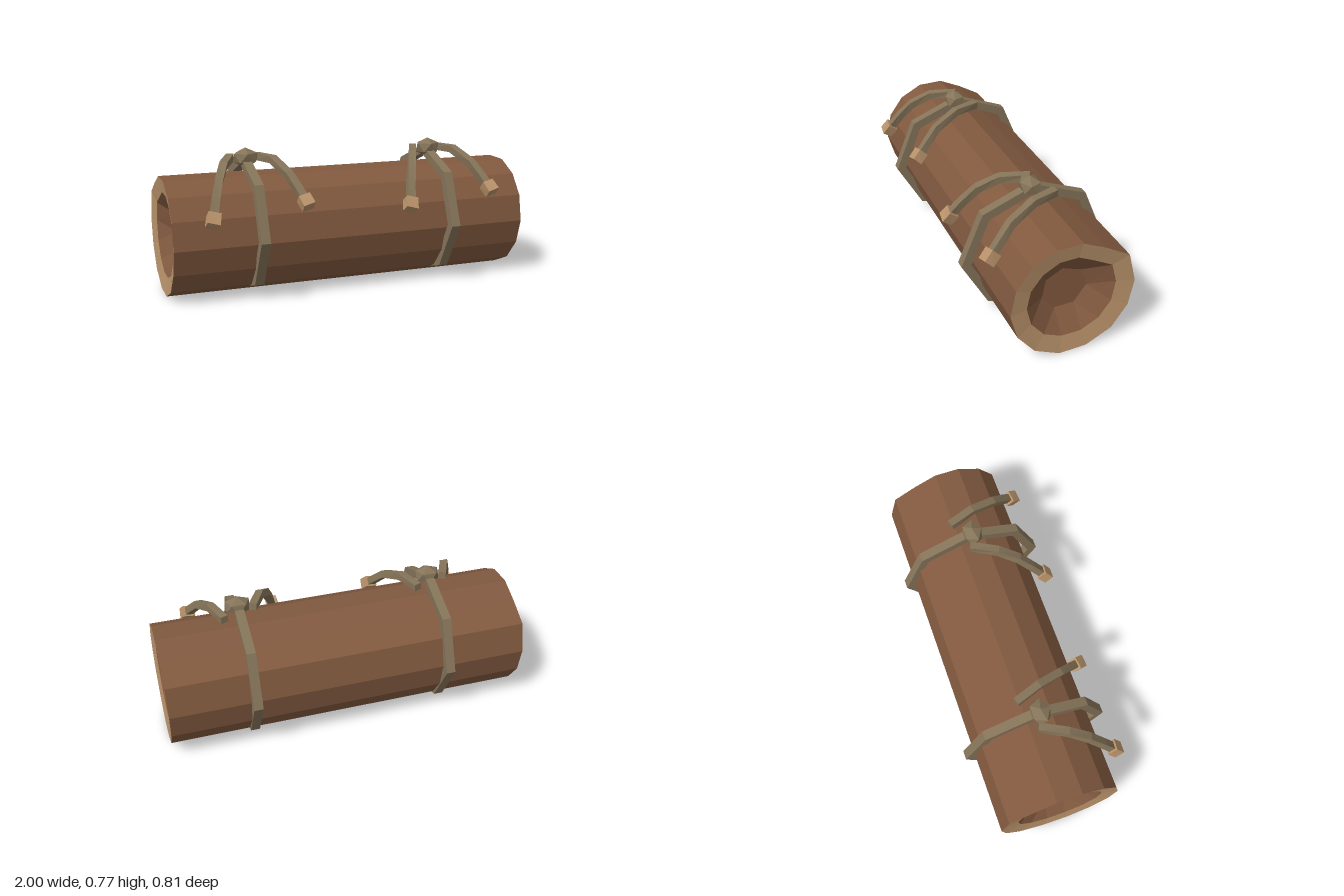
import * as THREE from 'three';

const flat = (name, color) => {
  const m = new THREE.MeshStandardMaterial({ color, flatShading: true });
  m.name = name;
  return m;
};

// Skin a list of equally sized rings with flat quads
function loft(rings) {
  const pos = [];
  const tri = (...p) => {
    if (p[0].equals(p[1]) || p[1].equals(p[2]) || p[0].equals(p[2])) return;
    p.forEach((v) => pos.push(v.x, v.y, v.z));
  };
  for (let k = 0; k < rings.length - 1; k++) {
    const r = rings[k], s = rings[k + 1], n = r.length;
    for (let i = 0; i < n; i++) {
      const j = (i + 1) % n;
      tri(r[i], s[i], s[j]);
      tri(r[i], s[j], r[j]);
    }
  }
  const g = new THREE.BufferGeometry();
  g.setAttribute('position', new THREE.Float32BufferAttribute(pos, 3));
  g.computeVertexNormals();
  return g;
}

// Irregular log outline and hollow outline as [z, y]
const OUTER = [[.085, .633], [-.055, .637], [-.18, .58], [-.31, .506], [-.352, .343], [-.324, .2], [-.24, .08],
  [-.1, .009], [.048, .002], [.185, .063], [.278, .176], [.317, .311], [.29, .457], [.209, .567]];
const INNER = [[.06, .548], [-.04, .552], [-.13, .51], [-.226, .459], [-.254, .354], [-.235, .241], [-.17, .152],
  [-.074, .102], [.033, .098], [.13, .139], [.2, .222], [.226, .322], [.207, .42], [.146, .5]];
const CENTRE = [-.014, .325];

// Hollow floor: neighbouring points merge in pairs, giving seven sides
const FLOOR = INNER.map((_, i) => {
  const a = INNER[i - (i % 2)], b = INNER[i - (i % 2) + 1];
  return [0, 1].map((c) => CENTRE[c] + ((a[c] + b[c]) / 2 - CENTRE[c]) * 0.53);
});
const ringAt = (pts, x) => pts.map(([z, y]) => new THREE.Vector3(x, y, z));

// Square bar swept along a path, closed at both ends
function bar(path, w, h) {
  const rings = path.map((p, i) => {
    const t = path[Math.min(i + 1, path.length - 1)].clone().sub(path[Math.max(i - 1, 0)]).normalize();
    const out = new THREE.Vector3(0, p.y - 0.33, p.z);
    const s = t.clone().cross(out).normalize();
    const u = s.clone().cross(t);
    return [[1, 1], [1, -1], [-1, -1], [-1, 1]].map(([a, b]) =>
      p.clone().addScaledVector(u, a * h / 2).addScaledVector(s, b * w / 2));
  });
  const cap = (p) => [p, p, p, p];
  return loft([cap(path[0]), ...rings, cap(path[path.length - 1])]);
}

// Eight-sided strap with an eight-sided opening
function strapGeometry() {
  const loop = (side, up, upY, top, low, lowY, bottom) => [[side, .333], [up, upY], [0, top], [-up, upY],
    [-side, .333], [-low, lowY], [0, bottom], [low, lowY]].map(([z, y]) => new THREE.Vector2(z - .004, y));
  const shape = new THREE.Shape(loop(.402, .286, .617, .73, .257, .075, .003));
  shape.holes.push(new THREE.Path(loop(.349, .25, .581, .684, .222, .108, .04)));
  return new THREE.ExtrudeGeometry(shape, { depth: .05, bevelEnabled: false })
    .rotateY(-Math.PI / 2).translate(.025, 0, 0);
}

export function createModel() {
  const bark = flat('bark brown', 0x81593f);
  const wood = flat('cut wood tan', 0xb8926a);
  const rope = flat('strap khaki', 0x857459);
  const model = new THREE.Group();
  const add = (parent, name, geo, mat) => {
    const m = new THREE.Mesh(geo, mat);
    m.name = name;
    parent.add(m);
    return m;
  };

  // Log: bark, cut rims and hollows at both ends
  const log = new THREE.Group();
  log.name = 'log';
  model.add(log);
  add(log, 'bark', loft([ringAt(OUTER, -1), ringAt(OUTER, 1)]), bark);
  const middle = INNER.map(() => CENTRE);
  for (const s of [-1, 1]) {
    const ends = (list) => loft(s > 0 ? list : list.reverse());
    const side = s > 0 ? 'left' : 'right';
    add(log, side + 'Rim', ends([ringAt(OUTER, s), ringAt(INNER, s * .985)]), wood);
    add(log, side + 'Hollow', ends([ringAt(INNER, s * .985), ringAt(FLOOR, s * .9), ringAt(middle, s * .9)]), bark);
  }

  // Loose strap ends, relative to the strap's x position
  const tails = [
    [[-.075, .72, -.02], [-.145, .705, .12], [-.195, .642, .22], [-.23, .56, .29], [-.26, .47, .357]],
    [[.09, .71, -.08], [.14, .71, .06], [.185, .648, .2], [.215, .58, .27], [.237, .52, .33]],
  ].map((t) => t.map((p) => new THREE.Vector3(...p)));

  for (const x of [-.543, .54]) {
    const tie = new THREE.Group();
    tie.name = 'tie';
    tie.position.x = x;
    model.add(tie);
    add(tie, 'strap', strapGeometry(), rope);

    // Faceted knot standing on a corner
    const knot = new THREE.IcosahedronGeometry(1, 0).rotateX(-Math.atan((1 + Math.sqrt(5)) / 2));
    knot.scale(.076, .054, .06).translate(0, .721, .018);
    add(tie, 'knot', knot, rope);

    for (const path of tails) {
      add(tie, 'looseEnd', bar(path, .042, .04), rope);
      // Square tip along the last stretch
      const end = path[path.length - 1];
      const dir = end.clone().sub(path[path.length - 2]).normalize();
      const tip = [-.033, .033].map((d) => end.clone().addScaledVector(dir, d));
      add(tie, 'endTip', bar(tip, .066, .06), wood);
    }
  }
  return model;
}
